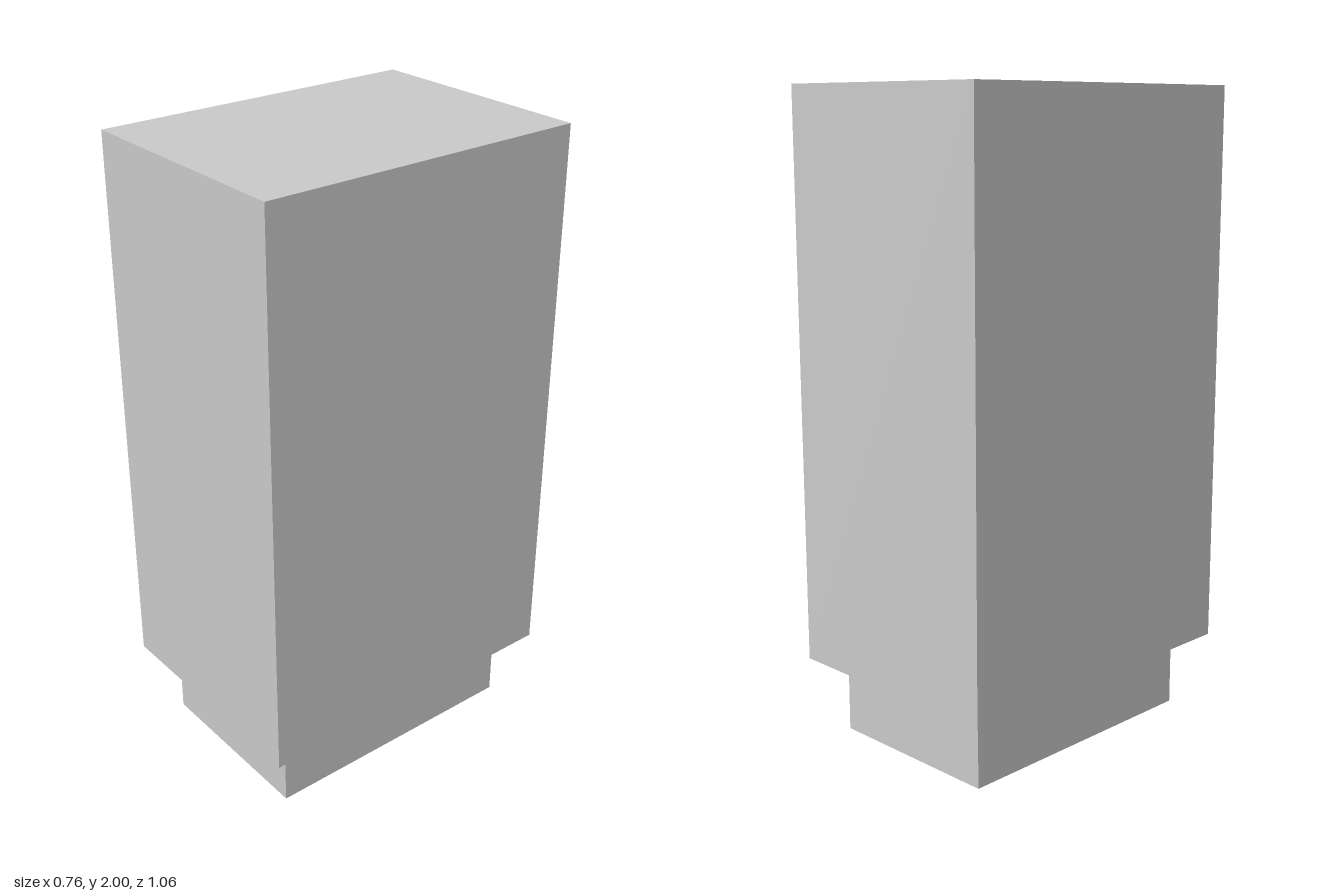
import * as THREE from 'three';

const BODY = { w: 0.763, d: 1.056 };
const COLLAR = { w: 0.588, d: 0.884, h: 0.236 };
const TOP = 2;

export function createModel() {
  const group = new THREE.Group();
  const material = new THREE.MeshStandardMaterial({ color: 0xcccccc, flatShading: true });
  const thin = new THREE.MeshStandardMaterial({ color: 0xcccccc, flatShading: true, side: THREE.DoubleSide });

  // Tall closed block
  const bodyHeight = TOP - COLLAR.h;
  const body = new THREE.Mesh(new THREE.BoxGeometry(BODY.w, bodyHeight, BODY.d), material);
  body.name = 'body';
  body.position.y = COLLAR.h + bodyHeight / 2;
  group.add(body);

  // Thin-walled collar below, open at the bottom
  const collar = new THREE.Group();
  collar.name = 'collar';
  ['front', 'left', 'back', 'right'].forEach((side, i) => {
    const [width, depth] = i % 2 ? [COLLAR.d, COLLAR.w] : [COLLAR.w, COLLAR.d];
    const geometry = new THREE.PlaneGeometry(width, COLLAR.h);
    geometry.translate(0, COLLAR.h / 2, depth / 2).rotateY(i * Math.PI / 2);
    const wall = new THREE.Mesh(geometry, thin);
    wall.name = side + 'CollarWall';
    collar.add(wall);
  });
  group.add(collar);

  return group;
}
